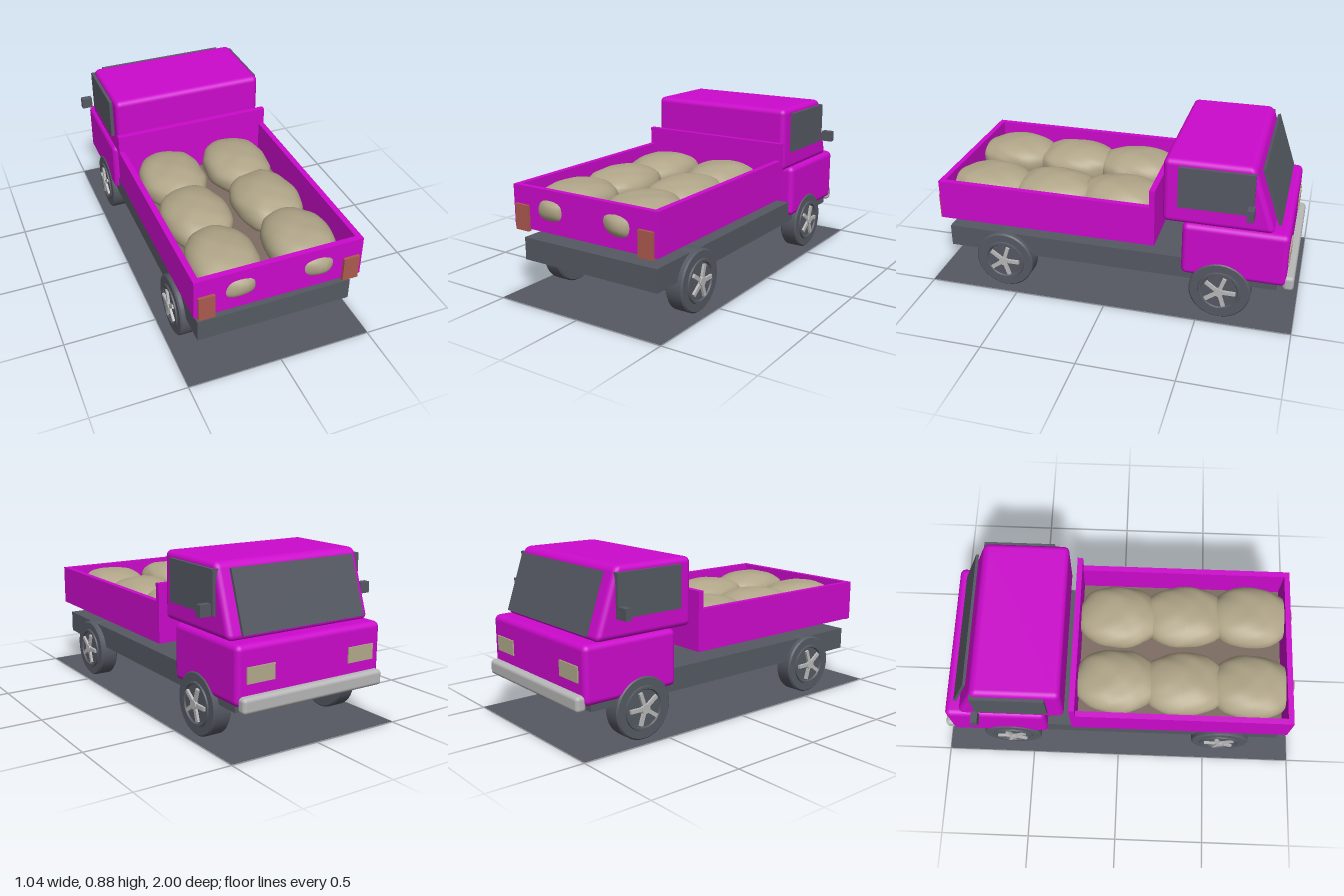
import * as THREE from 'three';
import { RoundedBoxGeometry } from 'three/addons/geometries/RoundedBoxGeometry.js';

const mat = (name, color, side = THREE.FrontSide) => {
  const m = new THREE.MeshStandardMaterial({ color, side });
  m.name = name;
  return m;
};

export function createModel() {
  const paint = mat('magenta paint', 0xcc0acc);
  const dark = mat('dark grey', 0x555962, THREE.DoubleSide);
  const cloth = mat('sack cloth', 0xb0a588);
  const wood = mat('bed floor brown', 0x7d6c62);
  const metal = mat('light metal', 0xb8b8b8);
  const red = mat('tail light red', 0xac5a50);
  const lamp = mat('headlight glass', 0xb4ac8c);

  const truck = new THREE.Group();
  truck.name = 'truck';

  const add = (name, geo, material, parent = truck) => {
    const mesh = new THREE.Mesh(geo, material);
    mesh.name = name;
    parent.add(mesh);
    return mesh;
  };
  // Boxes are given by their limits on each axis
  const box = (name, material, [x0, x1], [y0, y1], [z0, z1], radius = 0) => {
    const s = [x1 - x0, y1 - y0, z1 - z0];
    const geo = radius ? new RoundedBoxGeometry(...s, 4, radius) : new THREE.BoxGeometry(...s);
    geo.translate((x0 + x1) / 2, (y0 + y1) / 2, (z0 + z1) / 2);
    return add(name, geo, material);
  };
  // Same box on both sides of the truck
  const pair = (name, material, [x0, x1], y, z) => {
    box(name + 'Left', material, [x0, x1], y, z);
    box(name + 'Right', material, [-x1, -x0], y, z);
  };

  // Ground slab and chassis
  const ground = add('groundPlate', new THREE.PlaneGeometry(1, 2), dark);
  ground.rotation.x = -Math.PI / 2;
  ground.position.y = 0.003;
  box('chassis', dark, [-0.415, 0.415], [0.2, 0.32], [-0.9, 0.905]);

  // Cargo bed
  box('bedFloor', wood, [-0.415, 0.415], [0.386, 0.4], [-0.235, 0.91]);
  pair('bedSide', paint, [0.413, 0.444], [0.385, 0.605], [-0.23, 0.905]);
  box('tailgate', paint, [-0.444, 0.444], [0.385, 0.605], [0.905, 0.935]);
  box('headboard', paint, [-0.444, 0.444], [0.385, 0.7], [-0.26, -0.23]);
  pair('tailLight', red, [0.34, 0.425], [0.375, 0.51], [0.93, 0.95]);

  // Lower cab
  box('cabLower', paint, [-0.438, 0.438], [0.235, 0.53], [-0.945, -0.4], 0.03);

  // Upper cab: the front half of a rounded box is sheared into a raked front
  const rake = 0.12 / 0.35;
  const upper = box('cabUpper', paint, [-0.428, 0.428], [0.527, 0.88], [-0.75, -0.295], 0.03).geometry;
  const p = upper.attributes.position, n = upper.attributes.normal, v = new THREE.Vector3();
  for (let i = 0; i < p.count; i++) {
    if (p.getZ(i) > -0.52) continue;
    p.setZ(i, p.getZ(i) - rake * (0.88 - p.getY(i)));
    v.fromBufferAttribute(n, i);
    v.y -= rake * v.z;
    v.normalize();
    n.setXYZ(i, v.x, v.y, v.z);
  }

  // Glass, mirrors, lights and bumper
  const windshield = add('windshield', new THREE.BoxGeometry(0.735, 0.315, 0.015), dark);
  windshield.position.set(0, 0.704, -0.837);
  windshield.rotation.x = Math.atan(rake);
  pair('sideWindow', dark, [0.415, 0.446], [0.63, 0.85], [-0.757, -0.375]);
  pair('mirror', dark, [0.461, 0.52], [0.635, 0.694], [-0.767, -0.732]);
  pair('headlight', lamp, [0.225, 0.385], [0.345, 0.425], [-0.952, -0.943]);
  box('bumper', metal, [-0.425, 0.425], [0.21, 0.29], [-0.985, -0.928], 0.02);

  // Wheels: outer face looks along +x
  const turned = (pts) => {
    const geo = new THREE.LatheGeometry(pts.map(([r, x]) => new THREE.Vector2(r, x)), 40);
    return geo.rotateZ(-Math.PI / 2);
  };
  const tyreGeo = turned([[0, -0.05], [0.155, -0.05], [0.155, -0.05], [0.163, -0.042], [0.163, -0.042],
    [0.163, 0.042], [0.163, 0.042], [0.155, 0.05], [0.155, 0.05], [0, 0.05]]);
  const ringGeo = turned([[0.115, 0.048], [0.112, 0.058], [0.112, 0.058], [0.1, 0.058], [0.1, 0.058], [0.095, 0.05]]);
  const hubGeo = new THREE.CylinderGeometry(0.024, 0.024, 0.016, 20).rotateZ(-Math.PI / 2).translate(0.06, 0, 0);
  for (const side of [1, -1]) for (const [label, z] of [['front', -0.61], ['rear', 0.585]]) {
    const wheel = new THREE.Group();
    wheel.name = label + 'Wheel' + (side > 0 ? 'Left' : 'Right');
    add('tyre', tyreGeo, dark, wheel);
    add('rimRing', ringGeo, dark, wheel);
    add('hub', hubGeo, metal, wheel);
    for (let i = 0; i < 5; i++) {
      const geo = new THREE.BoxGeometry(0.014, 0.02, 0.076);
      geo.translate(0.056, 0, -0.05 * side).rotateX(i * Math.PI * 0.4);
      add('spoke', geo, metal, wheel);
    }
    wheel.position.set(side * 0.394, 0.163, z);
    if (side < 0) wheel.rotation.y = Math.PI;
    truck.add(wheel);
  }

  // Lumpy sacks in two columns
  const pow = (a, e) => Math.sign(a) * Math.abs(a) ** e;
  const sackGeo = (seed) => {
    const geo = new THREE.SphereGeometry(1, 40, 28);
    const q = geo.attributes.position;
    for (let i = 0; i < q.count; i++) {
      v.fromBufferAttribute(q, i);
      const lump = 1 + 0.02 * Math.sin(5 * v.x + 3 * v.z + seed * 2.1)
        + 0.015 * Math.sin(9 * v.z - 6 * v.y + seed * 4.7) * Math.cos(7 * v.x + seed);
      q.setXYZ(i, 0.178 * lump * pow(v.x, 0.88), 0.107 * lump * pow(v.y, 0.85), 0.235 * lump * pow(v.z, 0.95));
    }
    geo.computeVertexNormals();
    return geo;
  };
  [-0.205, 0.185].forEach((x, c) => [-0.015, 0.35, 0.72].forEach((z, r) => {
    const sack = add('sack', sackGeo(c * 3 + r), cloth);
    sack.position.set(x + (c ? 0.01 : -0.005) * (r - 0.5), 0.5, z);
  }));

  return truck;
}
